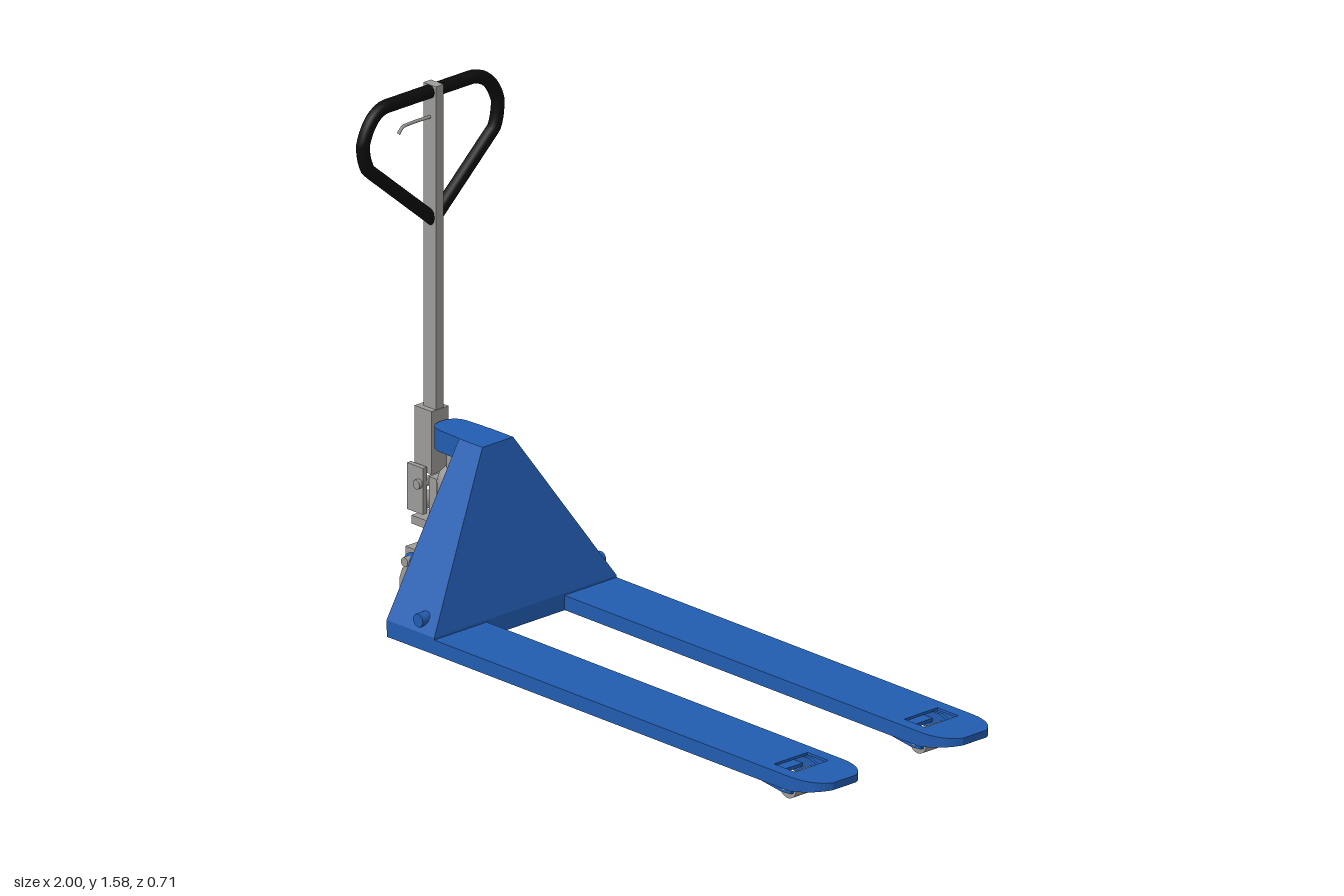
import * as THREE from 'three';

const blue = new THREE.MeshStandardMaterial({ color: 0x225cb0, side: THREE.DoubleSide });
blue.name = 'blue paint';
const blueFlat = blue;
const grey = new THREE.MeshStandardMaterial({ color: 0x9c9b98 });
grey.name = 'grey metal';
const black = new THREE.MeshStandardMaterial({ color: 0x0c0c0c });
black.name = 'black grip';

export function createModel() {
  const root = new THREE.Group();
  root.name = 'palletTruck';

  const add = (name, geo, mat, x = 0, y = 0, z = 0, parent = root) => {
    const m = new THREE.Mesh(geo, mat);
    m.name = name;
    m.position.set(x, y, z);
    parent.add(m);
    return m;
  };
  // box given by its min and max corners
  const box = (name, mat, x0, x1, y0, y1, z0, z1, parent) =>
    add(name, new THREE.BoxGeometry(x1 - x0, y1 - y0, z1 - z0), mat, (x0 + x1) / 2, (y0 + y1) / 2, (z0 + z1) / 2, parent);
  const upright = (name, r, y0, y1, x, z, sides = 24) =>
    add(name, new THREE.CylinderGeometry(r, r, y1 - y0, sides), grey, x, (y0 + y1) / 2, z);
  // cylinder lying along z
  const axle = (name, mat, r, len, x, y, z, sides = 20, parent) =>
    add(name, new THREE.CylinderGeometry(r, r, len, sides).rotateX(Math.PI / 2), mat, x, y, z, parent);
  const flatExtrude = (shape, depth) =>
    new THREE.ExtrudeGeometry(shape, { depth, bevelEnabled: false, curveSegments: 10 }).rotateX(-Math.PI / 2);

  // Tapered chassis tower, lofted through rectangles and open below
  const rings = [
    [0.06, -0.76, -0.565, 0.355],
    [0.11, -0.762, -0.567, 0.355],
    [0.575, -0.775, -0.68, 0.06],
  ].map(([y, a, b, w]) => [[a, y, w], [b, y, w], [b, y, -w], [a, y, -w]]);
  const pos = [];
  const quad = (a, b, c, d) => pos.push(...a, ...b, ...c, ...a, ...c, ...d);
  for (let r = 0; r < 2; r++) {
    for (let i = 0; i < 4; i++) {
      const j = (i + 1) % 4;
      quad(rings[r][i], rings[r][j], rings[r + 1][j], rings[r + 1][i]);
    }
  }
  quad(...rings[2]);
  const towerGeo = new THREE.BufferGeometry();
  towerGeo.setAttribute('position', new THREE.Float32BufferAttribute(pos, 3));
  towerGeo.computeVertexNormals();
  add('chassisTower', towerGeo, blueFlat);

  // Rounded bracket over the pump
  const bracket = new THREE.Shape();
  bracket.moveTo(-0.76, -0.06);
  bracket.lineTo(-0.76, 0.06);
  bracket.lineTo(-0.86, 0.055);
  bracket.quadraticCurveTo(-0.91, 0.05, -0.91, 0);
  bracket.quadraticCurveTo(-0.91, -0.05, -0.86, -0.055);
  add('topBracket', flatExtrude(bracket, 0.065), blue, 0, 0.51, 0);

  // Fork outline, inset by t
  const outline = (path, t) => {
    const w = 0.102 - t, e = 1 - t;
    path.moveTo(-0.7, -w);
    path.lineTo(0.88, -w);
    path.quadraticCurveTo(0.97, -w, e, -0.045);
    path.lineTo(e, 0.045);
    path.quadraticCurveTo(0.97, w, 0.88, w);
    path.lineTo(-0.7, w);
    path.closePath();
    return path;
  };
  const slope = (geo, lift) => {
    const p = geo.attributes.position;
    for (let i = 0; i < p.count; i++) {
      const x = p.getX(i);
      let y = p.getY(i);
      if (lift && y < 0.001) y += 0.022 * Math.max(0, (x - 0.88) / 0.12);
      p.setY(i, y - 0.005 * (x + 0.565));
    }
    geo.computeVertexNormals();
    return geo;
  };

  for (const s of [1, -1]) {
    const fork = new THREE.Group();
    fork.name = s > 0 ? 'leftFork' : 'rightFork';
    fork.position.z = s * 0.253;
    root.add(fork);

    // Top plate with roller window
    const top = outline(new THREE.Shape(), 0);
    const hole = new THREE.Path();
    hole.moveTo(0.78, -0.065);
    hole.lineTo(0.78, 0.065);
    hole.lineTo(0.865, 0.065);
    hole.lineTo(0.865, -0.065);
    hole.closePath();
    top.holes.push(hole);
    add('forkPlate', slope(flatExtrude(top, 0.008), false), blue, 0, 0.096, 0, fork);

    // Downturned edge, rising at the tip
    const skirt = outline(new THREE.Shape(), 0);
    skirt.holes.push(outline(new THREE.Path(), 0.01));
    add('forkSkirt', slope(flatExtrude(skirt, 0.038), true), blue, 0, 0.06, 0, fork);

    // Load roller and its swing arms
    axle('loadRoller', grey, 0.035, 0.1, 0.82, 0.036, 0, 20, fork);
    axle('rollerPin', grey, 0.01, 0.135, 0.82, 0.04, 0, 12, fork);
    const arm = new THREE.Shape();
    arm.moveTo(0.635, 0.085);
    arm.lineTo(0.635, 0.046);
    arm.lineTo(0.81, 0.022);
    arm.lineTo(0.85, 0.025);
    arm.lineTo(0.855, 0.06);
    arm.lineTo(0.80, 0.085);
    const armGeo = new THREE.ExtrudeGeometry(arm, { depth: 0.01, bevelEnabled: false });
    for (const z of [-0.066, 0.056]) add('rollerArm', armGeo, blue, 0, 0, z, fork);
    box('armCrossPlate', blue, 0.635, 0.77, 0.055, 0.065, -0.06, 0.06, fork);

    // Pivot bolt on the tower flank
    axle('pivotBolt', blue, 0.02, 0.035, -0.632, 0.145, s * 0.339, 16);

    // Steering wheel with hub
    axle('steerWheel', grey, 0.097, 0.07, -0.86, 0.104, s * 0.085, 18);
    axle('wheelHub', grey, 0.04, 0.08, -0.86, 0.104, s * 0.085, 16);

    // Lift link from the rocker to the tower
    const link = new THREE.LineCurve3(
      new THREE.Vector3(-0.87, 0.22, s * 0.163), new THREE.Vector3(-0.74, 0.175, s * 0.215));
    add('liftLink', new THREE.TubeGeometry(link, 1, 0.016, 8), blue);
    axle('linkPin', grey, 0.014, 0.05, -0.857, 0.215, s * 0.17, 12);

    // Yoke cheek at the handle base
    box('handleYoke', grey, -0.995, -0.93, 0.3, 0.44, s * 0.045 - 0.008, s * 0.045 + 0.008);
  }

  // Hydraulic pump
  const profile = [[0, 0.285], [0.053, 0.285], [0.053, 0.41], [0.046, 0.435], [0.03, 0.452], [0, 0.452]]
    .map(([r, y]) => new THREE.Vector2(r, y));
  add('pumpBody', new THREE.LatheGeometry(profile, 24), grey, -0.853);
  upright('pumpRod', 0.025, 0.44, 0.515, -0.853, 0);
  box('pumpFlange', grey, -0.97, -0.79, 0.265, 0.29, -0.06, 0.06);
  upright('pumpNeck', 0.045, 0.1, 0.27, -0.857, 0);
  box('rockerBeam', grey, -0.9, -0.815, 0.2, 0.24, -0.15, 0.15);
  axle('wheelAxle', grey, 0.018, 0.26, -0.86, 0.104, 0, 14);

  // Handle base
  axle('yokeRoller', grey, 0.025, 0.09, -0.972, 0.32, 0, 16);
  axle('yokePin', grey, 0.014, 0.13, -0.945, 0.39, 0, 14);
  box('valveBlock', grey, -0.93, -0.885, 0.29, 0.41, -0.03, 0.03);
  box('handleSocket', grey, -0.985, -0.915, 0.42, 0.61, -0.033, 0.033);
  box('handleStem', grey, -0.968, -0.917, 0.58, 1.585, -0.015, 0.015);

  // Loop grip with rounded shoulders
  const v = (y, z) => new THREE.Vector3(-0.942, y, z);
  const grip = new THREE.CurvePath();
  const pts = [v(1.175, 0), v(1.39, 0.255), v(1.425, 0.275), v(1.47, 0.275), v(1.565, 0.19),
    v(1.565, -0.15), v(1.47, -0.25), v(1.42, -0.25), v(1.39, -0.235)];
  grip.add(new THREE.LineCurve3(pts[0], pts[1]));
  grip.add(new THREE.QuadraticBezierCurve3(pts[1], pts[2], pts[3]));
  grip.add(new THREE.QuadraticBezierCurve3(pts[3], v(1.555, 0.25), pts[4]));
  grip.add(new THREE.LineCurve3(pts[4], pts[5]));
  grip.add(new THREE.QuadraticBezierCurve3(pts[5], v(1.555, -0.225), pts[6]));
  grip.add(new THREE.QuadraticBezierCurve3(pts[6], pts[7], pts[8]));
  grip.add(new THREE.LineCurve3(pts[8], pts[0]));
  add('loopGrip', new THREE.TubeGeometry(grip, 90, 0.02, 12, true), black);

  // Release lever
  const lever = new THREE.CatmullRomCurve3([v(1.488, 0), v(1.488, 0.1), v(1.485, 0.12), v(1.468, 0.137)]);
  add('releaseLever', new THREE.TubeGeometry(lever, 20, 0.005, 8), grey);

  return root;
}
